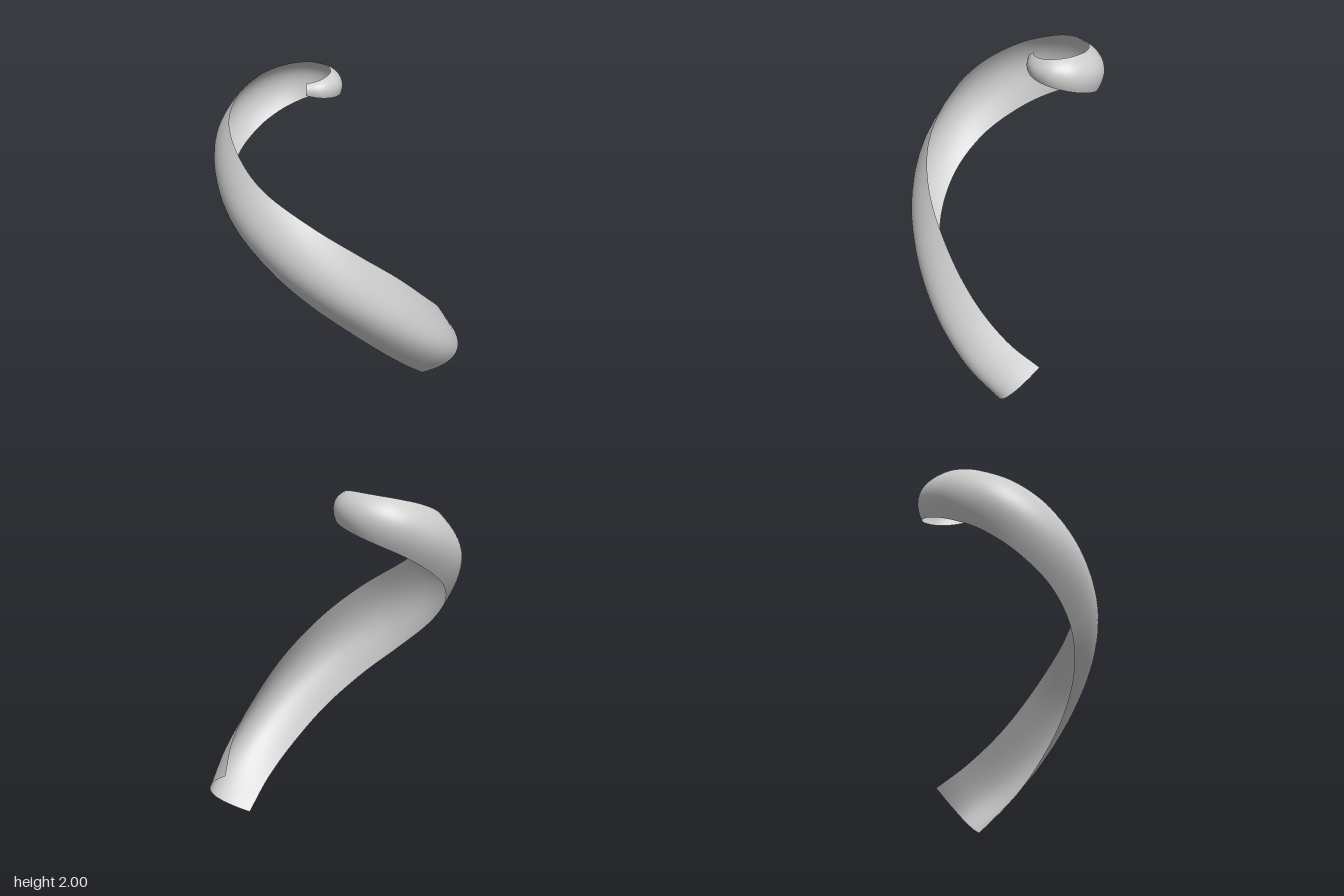
import * as THREE from 'three';

// Stations along the ribbon, from the wide foot to the curled tip:
// lower edge point, upper edge point, depth of the outward bulge
const stations = [
  [[0.53, 0.0, -0.08], [0.63, 0.31, -0.345], 0.182],
  [[0.433, 0.175, 0.1], [0.615, 0.48, -0.14], 0.182],
  [[0.285, 0.37, 0.25], [0.52, 0.685, 0.07], 0.176],
  [[0.09, 0.585, 0.363], [0.355, 0.925, 0.26], 0.163],
  [[-0.14, 0.79, 0.405], [0.125, 1.16, 0.41], 0.147],
  [[-0.37, 0.975, 0.355], [-0.13, 1.355, 0.458], 0.135],
  [[-0.555, 1.15, 0.21], [-0.4, 1.525, 0.38], 0.122],
  [[-0.65, 1.31, 0.0], [-0.56, 1.665, 0.225], 0.113],
  [[-0.645, 1.45, -0.21], [-0.647, 1.78, 0.0], 0.103],
  [[-0.55, 1.56, -0.38], [-0.615, 1.87, -0.22], 0.09],
  [[-0.42, 1.645, -0.485], [-0.52, 1.925, -0.36], 0.079],
  [[-0.28, 1.71, -0.53], [-0.385, 1.96, -0.45], 0.067],
  [[-0.15, 1.765, -0.503], [-0.24, 1.985, -0.458], 0.057],
  [[-0.05, 1.815, -0.41], [-0.125, 2.0, -0.385], 0.046],
  [[-0.022, 1.85, -0.29], [-0.08, 1.997, -0.285], 0.035],
  [[-0.06, 1.868, -0.19], [-0.105, 1.985, -0.21], 0.027],
  [[-0.13, 1.885, -0.135], [-0.15, 1.975, -0.17], 0.02],
  [[-0.21, 1.9, -0.125], [-0.21, 1.965, -0.155], 0.014],
];

const edgeCurve = (k) => new THREE.CatmullRomCurve3(
  stations.map((s) => new THREE.Vector3(...s[k])), false, 'catmullrom', 0.5);

// Sweep a parabolic arc between the two edge curves
function ribbonGeometry(cols = 16, rows = 119) {
  const lower = edgeCurve(0);
  const upper = edgeCurve(1);
  const bulge = new THREE.SplineCurve(stations.map((s, i) => new THREE.Vector2(i, s[2])));
  const middle = (t) => lower.getPoint(t).add(upper.getPoint(t)).multiplyScalar(0.5);

  const geometry = new THREE.PlaneGeometry(1, 1, cols, rows);
  const position = geometry.attributes.position;
  for (let j = 0; j <= rows; j++) {
    const t = j / rows;
    const centre = middle(t);
    const half = upper.getPoint(t).sub(centre);
    const tangent = middle(Math.min(1, t + 0.01)).sub(middle(Math.max(0, t - 0.01)));
    const outward = half.clone().cross(tangent).normalize();
    const depth = bulge.getPoint(t).y;
    for (let i = 0; i <= cols; i++) {
      const u = 1 - (2 * i) / cols;
      const p = centre.clone()
        .addScaledVector(half, u)
        .addScaledVector(outward, depth * (1 - u * u));
      position.setXYZ(j * (cols + 1) + i, p.x, p.y, p.z);
    }
  }
  geometry.computeVertexNormals();
  return geometry;
}

export function createModel() {
  const group = new THREE.Group();
  group.name = 'spiralRibbon';
  const material = new THREE.MeshStandardMaterial({ color: 0xcccccc, side: THREE.DoubleSide });
  const ribbon = new THREE.Mesh(ribbonGeometry(), material);
  ribbon.name = 'ribbon';
  group.add(ribbon);
  return group;
}
